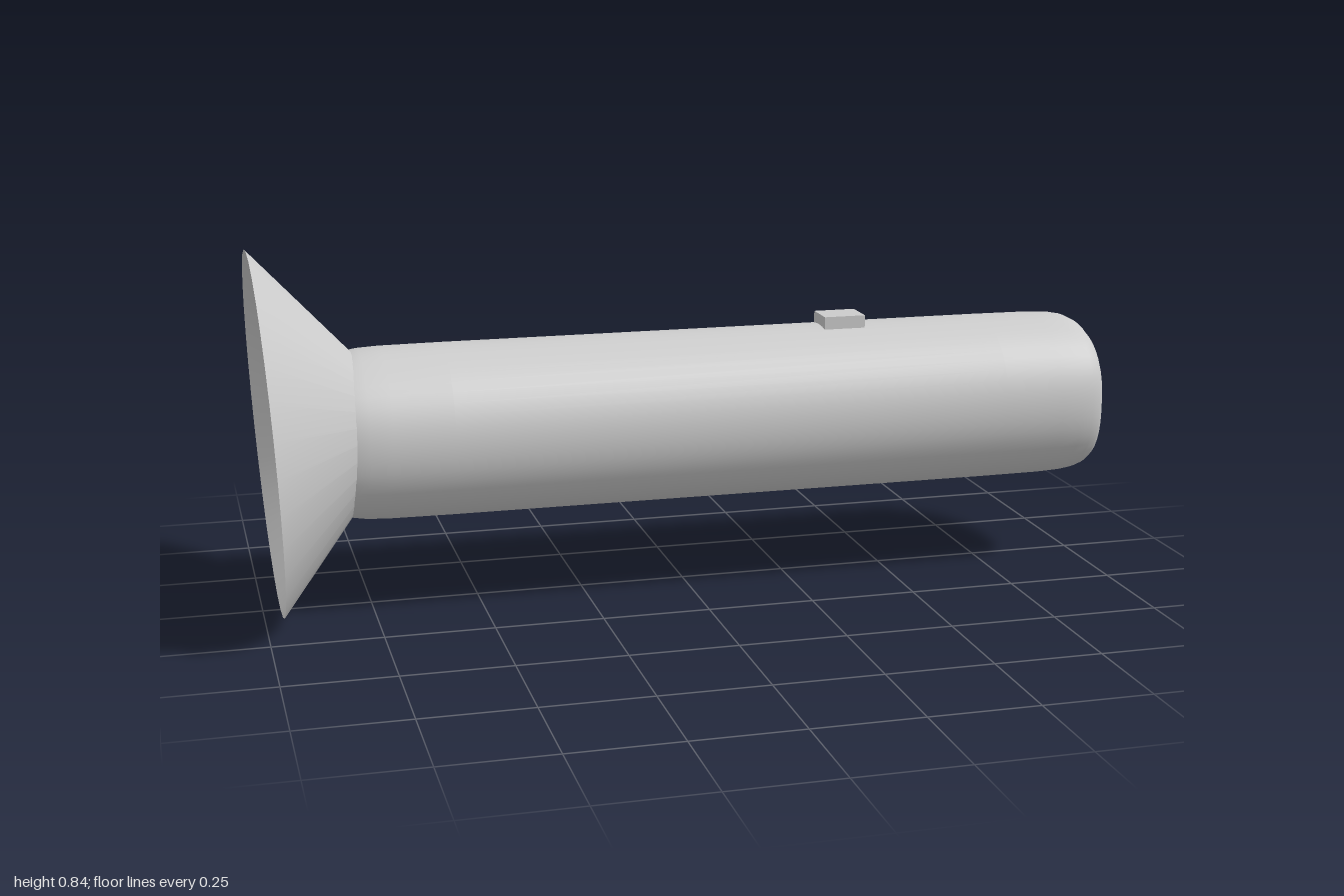
import * as THREE from 'three';

const grey = new THREE.MeshStandardMaterial({ color: 0xcccccc, side: THREE.DoubleSide });
grey.name = 'lightGrey';

const SIDES = 48;
const AXIS_Y = 0.411;

// One point of a slightly squared ellipse; n = 2 is a true ellipse
function ringPoint(i, ry, rz, n) {
  const a = (i / SIDES) * Math.PI * 2;
  const c = Math.cos(a), s = Math.sin(a);
  const k = Math.pow(Math.pow(Math.abs(c), n) + Math.pow(Math.abs(s), n), -1 / n);
  return [c * k * ry, s * k * rz];
}

// Smooth skin through cross-sections [x, ry, rz, n] running along +x
function loft(sections) {
  const pos = [], idx = [], row = SIDES;
  for (const [x, ry, rz, n] of sections) {
    for (let i = 0; i < SIDES; i++) pos.push(x, ...ringPoint(i, ry, rz, n));
  }
  for (let j = 0; j < sections.length - 1; j++) {
    for (let i = 0; i < SIDES; i++) {
      const a = j * row + i, b = j * row + ((i + 1) % SIDES);
      idx.push(a, b, a + row, b, b + row, a + row);
    }
  }
  const geo = new THREE.BufferGeometry();
  geo.setAttribute('position', new THREE.Float32BufferAttribute(pos, 3));
  geo.setIndex(idx);
  geo.computeVertexNormals();
  return geo;
}

// Flat end face for a section; dir is the x direction it faces
function endFace([x, ry, rz, n], dir) {
  const pos = [x, 0, 0], idx = [];
  for (let i = 0; i < SIDES; i++) {
    pos.push(x, ...ringPoint(i, ry, rz, n));
    const a = 1 + i, b = 1 + ((i + 1) % SIDES);
    idx.push(0, ...(dir > 0 ? [a, b] : [b, a]));
  }
  const geo = new THREE.BufferGeometry();
  geo.setAttribute('position', new THREE.Float32BufferAttribute(pos, 3));
  geo.setIndex(idx);
  geo.computeVertexNormals();
  return geo;
}

export function createModel() {
  const model = new THREE.Group();
  model.name = 'torch';
  const add = (name, geo, parent = model) => {
    const mesh = new THREE.Mesh(geo, grey);
    mesh.name = name;
    parent.add(mesh);
    return mesh;
  };

  // Round barrel with softened ends: [inset from end, ry, rz, squareness]
  const rounding = [
    [0, 0.154, 0.177, 2.6],
    [0.003, 0.167, 0.183, 2.45],
    [0.012, 0.18, 0.189, 2.3],
    [0.03, 0.189, 0.194, 2.2],
    [0.06, 0.195, 0.198, 2.1],
    [0.11, 0.198, 0.2, 2.07],
    [0.25, 0.199, 0.2, 2.07],
  ];
  const left = rounding.map(([d, ...r]) => [-0.82 + d, ...r]);
  const right = rounding.map(([d, ...r]) => [1 - d, ...r]).reverse();
  const body = new THREE.Group();
  body.name = 'body';
  body.position.y = AXIS_Y;
  add('barrel', loft([...left, ...right]), body);
  add('tailCap', endFace(right[right.length - 1], 1), body);
  add('innerCap', endFace(left[0], -1), body);
  model.add(body);

  // Flared lamp head, open at the rim and tilted a little
  const R = 0.42, H = 0.355, depth = 0.15;
  const head = new THREE.Group();
  head.name = 'head';
  head.position.set(-0.98, 0.423, 0);
  head.rotation.z = -Math.PI / 2 + 0.048;
  add('reflector', new THREE.ConeGeometry(R, H, 32, 1, true), head).position.y = H / 2;
  // Lamp disc deep inside the head, facing the opening
  const lens = add('lens', new THREE.CircleGeometry(R * (1 - depth / H), 32), head);
  lens.position.y = depth;
  lens.rotation.x = Math.PI / 2;
  model.add(head);

  // Switch on top
  add('switchButton', new THREE.BoxGeometry(0.1, 0.05, 0.082)).position.set(0.388, 0.61, 0.005);

  return model;
}
